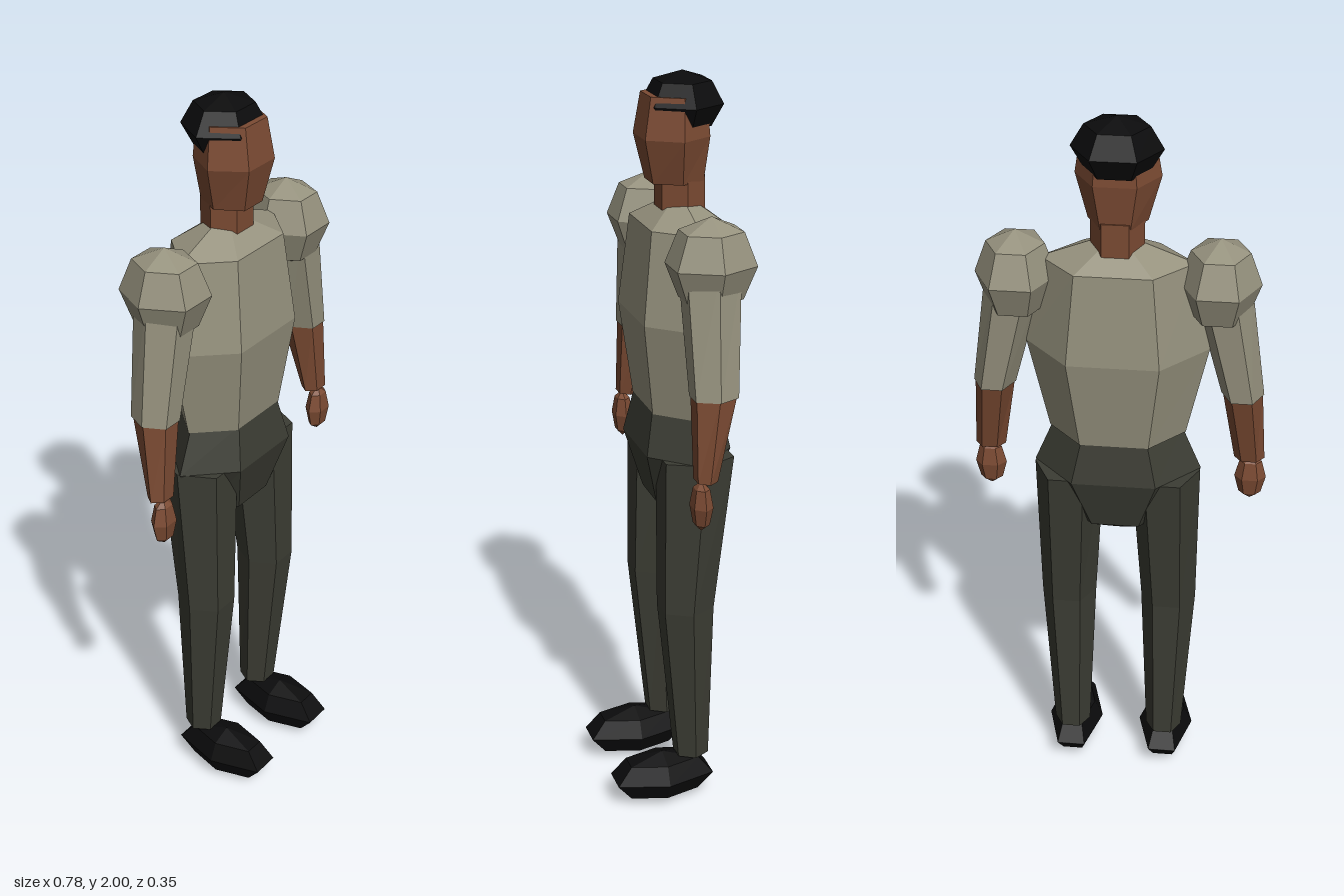
import * as THREE from 'three';

const mat = (name, color) => {
  const m = new THREE.MeshStandardMaterial({ color, flatShading: true });
  m.name = name;
  return m;
};

// Six-sided loft through rings [y, centreX, centreZ, halfWidth, halfDepth], bottom to top, capped.
function hexLoft(rings) {
  const corners = rings.map(([y, cx, cz, rx, hz]) =>
    Array.from({ length: 6 }, (_, k) => {
      const a = (k * Math.PI) / 3;
      return [cx + rx * Math.cos(a), y, cz + (hz / Math.sin(Math.PI / 3)) * Math.sin(a)];
    }));
  const pos = [];
  const tri = (a, b, c) => pos.push(...a, ...b, ...c);
  const last = rings.length - 1;
  const centre = ([y, cx, cz]) => [cx, y, cz];
  for (let k = 0; k < 6; k++) {
    const n = (k + 1) % 6;
    for (let i = 0; i < last; i++) {
      const lo = corners[i], hi = corners[i + 1];
      if (rings[i][3] > 0) tri(lo[k], hi[k], lo[n]);
      if (rings[i + 1][3] > 0) tri(lo[n], hi[k], hi[n]);
    }
    if (rings[0][3] > 0) tri(centre(rings[0]), corners[0][k], corners[0][n]);
    if (rings[last][3] > 0) tri(centre(rings[last]), corners[last][n], corners[last][k]);
  }
  const g = new THREE.BufferGeometry();
  g.setAttribute('position', new THREE.Float32BufferAttribute(pos, 3));
  g.computeVertexNormals();
  return g;
}

// Coarse ball: two poles and three rings
function hexBall(cx, cy, cz, rx, ry, hz) {
  return hexLoft([-90, -45, 0, 45, 90].map((deg) => {
    const a = THREE.MathUtils.degToRad(deg);
    const c = Math.abs(deg) === 90 ? 0 : Math.cos(a);
    return [cy + ry * Math.sin(a), cx, cz, rx * c, hz * c];
  }));
}

export function createModel() {
  const shirt = mat('shirt', 0x96927e);
  const trousers = mat('trousers', 0x3c3d34);
  const skin = mat('skin', 0x7c4b33);
  const black = mat('black', 0x0b0b0c);

  const model = new THREE.Group();
  model.name = 'person';
  const add = (name, geometry, material, parent = model) => {
    const mesh = new THREE.Mesh(geometry, material);
    mesh.name = name;
    parent.add(mesh);
  };

  // Trunk
  add('torso', hexLoft([
    [1.13, 0, -0.047, 0.178, 0.095],
    [1.38, 0, -0.048, 0.235, 0.127],
    [1.62, 0, -0.05, 0.195, 0.103],
    [1.695, 0, -0.05, 0, 0],
  ]), shirt);
  add('hips', hexLoft([
    [0.815, 0, -0.045, 0, 0],
    [0.87, 0, -0.045, 0.125, 0.075],
    [1.02, 0, -0.045, 0.22, 0.115],
    [1.14, 0, -0.045, 0.17, 0.092],
  ]), trousers);

  // Head
  add('neck', hexLoft([
    [1.62, 0, -0.052, 0.068, 0.057],
    [1.74, 0, -0.052, 0.068, 0.057],
  ]), skin);
  add('head', hexLoft([
    [1.725, 0, -0.037, 0.075, 0.067],
    [1.84, 0, -0.03, 0.107, 0.085],
    [1.945, 0, -0.035, 0.09, 0.073],
  ]), skin);
  add('hair', hexBall(0, 1.92, -0.058, 0.114, 0.08, 0.091), black);

  // Limbs, mirrored
  for (const s of [1, -1]) {
    const side = s > 0 ? 'left' : 'right';
    const arm = new THREE.Group();
    arm.name = side + 'Arm';
    const leg = new THREE.Group();
    leg.name = side + 'Leg';
    model.add(arm, leg);

    add('shoulder', hexBall(s * 0.255, 1.57, -0.05, 0.105, 0.12, 0.103), shirt, arm);
    add('upperArm', hexLoft([
      [1.25, s * 0.322, -0.038, 0.055, 0.056],
      [1.57, s * 0.258, -0.045, 0.077, 0.07],
    ]), shirt, arm);
    add('forearm', hexLoft([
      [1.04, s * 0.345, -0.01, 0.04, 0.026],
      [1.26, s * 0.321, -0.038, 0.052, 0.053],
    ]), skin, arm);
    add('hand', hexBall(s * 0.349, 0.973, 0.002, 0.042, 0.068, 0.025), skin, arm);

    add('trouserLeg', hexLoft([
      [0.135, s * 0.132, -0.047, 0.05, 0.043],
      [0.59, s * 0.138, -0.027, 0.075, 0.068],
      [1.02, s * 0.127, -0.055, 0.092, 0.093],
    ]), trousers, leg);
    add('shoe', hexBall(s * 0.132, 0.075, 0.036, 0.077, 0.07, 0.137), black, leg);
  }
  model.position.y = -0.005;
  return model;
}
